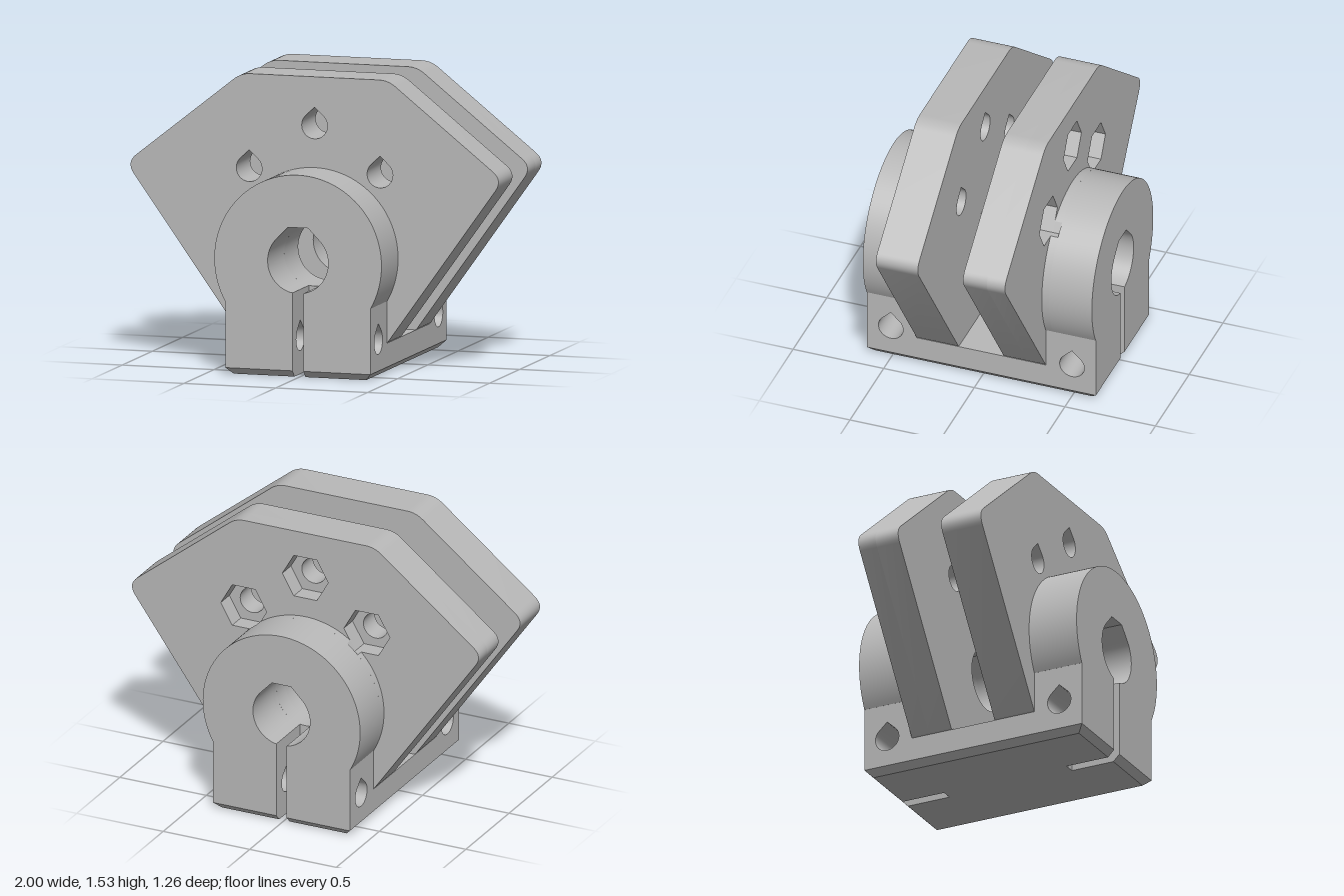
import * as THREE from 'three';
import { toCreasedNormals } from 'three/addons/utils/BufferGeometryUtils.js';

const BORE_Y = 0.605, BORE_R = 0.165, BOSS_R = 0.455;
const HALF_W = 0.395, HALF_D = 0.632, SLOT = 0.03, CHAMFER = 0.035;
const PLATE_IN = 0.125, PLATE_OUT = 0.356, LEG_TOP = 0.38, BASE_TOP = 0.16;
const NUT_DEPTH = 0.1, NUT_PROUD = 0.04, NUT_APOTHEM = 0.115;
const BOLTS = [[0, 1.28], [0.356, 1.04], [-0.356, 1.04]];

const V = (x, y) => new THREE.Vector2(x, y);

// points along an arc, both ends included
function arc(cx, cy, r, a0, a1, n) {
  const pts = [];
  for (let i = 0; i <= n; i++) {
    const a = a0 + (a1 - a0) * i / n;
    pts.push(V(cx + r * Math.cos(a), cy + r * Math.sin(a)));
  }
  return pts;
}

// circle with a 45 degree pointed roof
function teardrop(cx, cy, r) {
  return [...arc(cx, cy, r, Math.PI * 0.75, Math.PI * 2.25, 30), V(cx, cy + r * Math.SQRT2 * 0.97)];
}

// hexagon with level top and bottom
function hexagon(cx, cy) {
  return arc(cx, cy, NUT_APOTHEM / Math.cos(Math.PI / 6), 0, Math.PI * 5 / 3, 5);
}

// bore with sloped shoulders and a flat roof
function bore() {
  return [...arc(0, BORE_Y, BORE_R, Math.PI * 0.75, Math.PI * 2.25, 48), V(0.055, 0.785), V(-0.055, 0.785)];
}

// polygon with softened corners; each corner is [x, y, cut]
function softPolygon(corners) {
  const s = new THREE.Shape(), n = corners.length;
  corners.forEach(([x, y, cut], i) => {
    const p = V(x, y);
    const toward = (c) => V(c[0], c[1]).sub(p).setLength(cut).add(p);
    const a = toward(corners[(i + n - 1) % n]), b = toward(corners[(i + 1) % n]);
    if (i === 0) s.moveTo(a.x, a.y); else s.lineTo(a.x, a.y);
    s.quadraticCurveTo(x, y, b.x, b.y);
  });
  return s;
}

function extrude(shape, holes, z0, z1) {
  shape.holes = holes.map((h) => new THREE.Path(h));
  const g = new THREE.ExtrudeGeometry(shape, { depth: z1 - z0, bevelEnabled: false, curveSegments: 8 });
  return g.translate(0, 0, z0);
}

const plateShape = () => softPolygon([
  [0.395, BASE_TOP, 0.01], [1.025, 1.04, 0.07], [0.4, 1.535, 0.05],
  [-0.4, 1.535, 0.05], [-1.025, 1.04, 0.07], [-0.395, BASE_TOP, 0.01],
]);

// clamp ring above the legs, open at the slot; optionally notched for the nuts
function ringShape(notched) {
  const side = Math.asin((LEG_TOP - BORE_Y) / BOSS_R);
  const ang = (x, y) => Math.atan2(y - BORE_Y, x);
  let outer;
  if (notched) {
    const a = ang(0.323, 0.925), b = ang(0.259, 0.974);
    outer = [
      ...arc(0, BORE_Y, BOSS_R, side, a, 24), V(0.29, 0.925),
      ...arc(0, BORE_Y, BOSS_R, b, Math.PI - b, 24), V(-0.29, 0.925),
      ...arc(0, BORE_Y, BOSS_R, Math.PI - a, Math.PI - side, 24),
    ];
  } else {
    outer = arc(0, BORE_Y, BOSS_R, side, Math.PI - side, 72);
  }
  const lip = Math.asin(SLOT / BORE_R);
  return new THREE.Shape([
    ...outer, V(-SLOT, LEG_TOP),
    ...arc(0, BORE_Y, BORE_R, Math.PI * 1.5 - lip, Math.PI * 0.75, 24),
    V(-0.055, 0.785), V(0.055, 0.785),
    ...arc(0, BORE_Y, BORE_R, Math.PI * 0.25, -Math.PI / 2 + lip, 24),
    V(SLOT, LEG_TOP),
  ]);
}

export function createModel() {
  const model = new THREE.Group();
  model.name = 'clampBracket';
  const grey = new THREE.MeshStandardMaterial({ color: 0xb8b8b8 });
  grey.name = 'grey plastic';

  const add = (name, geometry) => {
    const mesh = new THREE.Mesh(toCreasedNormals(geometry, 0.45), grey);
    mesh.name = name;
    model.add(mesh);
  };

  const boltHoles = BOLTS.map(([x, y]) => teardrop(x, y, 0.07));
  const nutHoles = BOLTS.map(([x, y]) => hexagon(x, y));

  // plates; the back one has nut pockets in its outer face
  const pocketZ = -PLATE_OUT + NUT_DEPTH;
  add('frontPlate', extrude(plateShape(), [bore(), ...boltHoles], PLATE_IN, PLATE_OUT));
  add('backPlate', extrude(plateShape(), [bore(), ...boltHoles], pocketZ, -PLATE_IN));
  add('backPlateNutPockets', extrude(plateShape(), [bore(), ...nutHoles], -PLATE_OUT, pocketZ));

  // clamp rings
  add('frontClampRing', extrude(ringShape(false), [], PLATE_OUT, HALF_D));
  add('backClampRing', extrude(ringShape(false), [], -HALF_D, -PLATE_OUT - NUT_PROUD));
  add('backClampRingNotched', extrude(ringShape(true), [], -PLATE_OUT - NUT_PROUD, -PLATE_OUT));

  // clamp legs with cross bolt holes
  for (const end of [1, -1]) {
    for (const side of [1, -1]) {
      const u0 = end > 0 ? -HALF_D : PLATE_OUT, u1 = end > 0 ? -PLATE_OUT : HALF_D;
      const leg = new THREE.Shape([V(u0, CHAMFER), V(u1, CHAMFER), V(u1, LEG_TOP), V(u0, LEG_TOP)]);
      const g = extrude(leg, [teardrop(-end * 0.5, 0.19, 0.068)], 0, HALF_W - SLOT);
      g.rotateY(Math.PI / 2).translate(side > 0 ? SLOT : -HALF_W, 0, 0);
      add((end > 0 ? 'front' : 'back') + (side > 0 ? 'Left' : 'Right') + 'Leg', g);
    }
  }

  // base block joining both ends
  const base = new THREE.BoxGeometry(HALF_W * 2, BASE_TOP - CHAMFER, PLATE_OUT * 2);
  add('baseBlock', base.translate(0, (BASE_TOP + CHAMFER) / 2, 0));

  // slotted foot, its lower rim drawn in to make the chamfer
  const foot = extrude(new THREE.Shape([
    V(HALF_W, -HALF_D), V(HALF_W, HALF_D), V(SLOT, HALF_D), V(SLOT, PLATE_OUT),
    V(-SLOT, PLATE_OUT), V(-SLOT, HALF_D), V(-HALF_W, HALF_D), V(-HALF_W, -HALF_D),
    V(-SLOT, -HALF_D), V(-SLOT, -PLATE_OUT), V(SLOT, -PLATE_OUT), V(SLOT, -HALF_D),
  ]), [], 0, CHAMFER).rotateX(-Math.PI / 2);
  const p = foot.attributes.position;
  for (let i = 0; i < p.count; i++) {
    if (p.getY(i) > CHAMFER / 2) continue;
    const x = p.getX(i), z = p.getZ(i);
    if (Math.abs(x) > HALF_W - 0.01) p.setX(i, x - Math.sign(x) * CHAMFER);
    if (Math.abs(z) > HALF_D - 0.01) p.setZ(i, z - Math.sign(z) * CHAMFER);
  }
  add('chamferedFoot', foot);

  return model;
}
